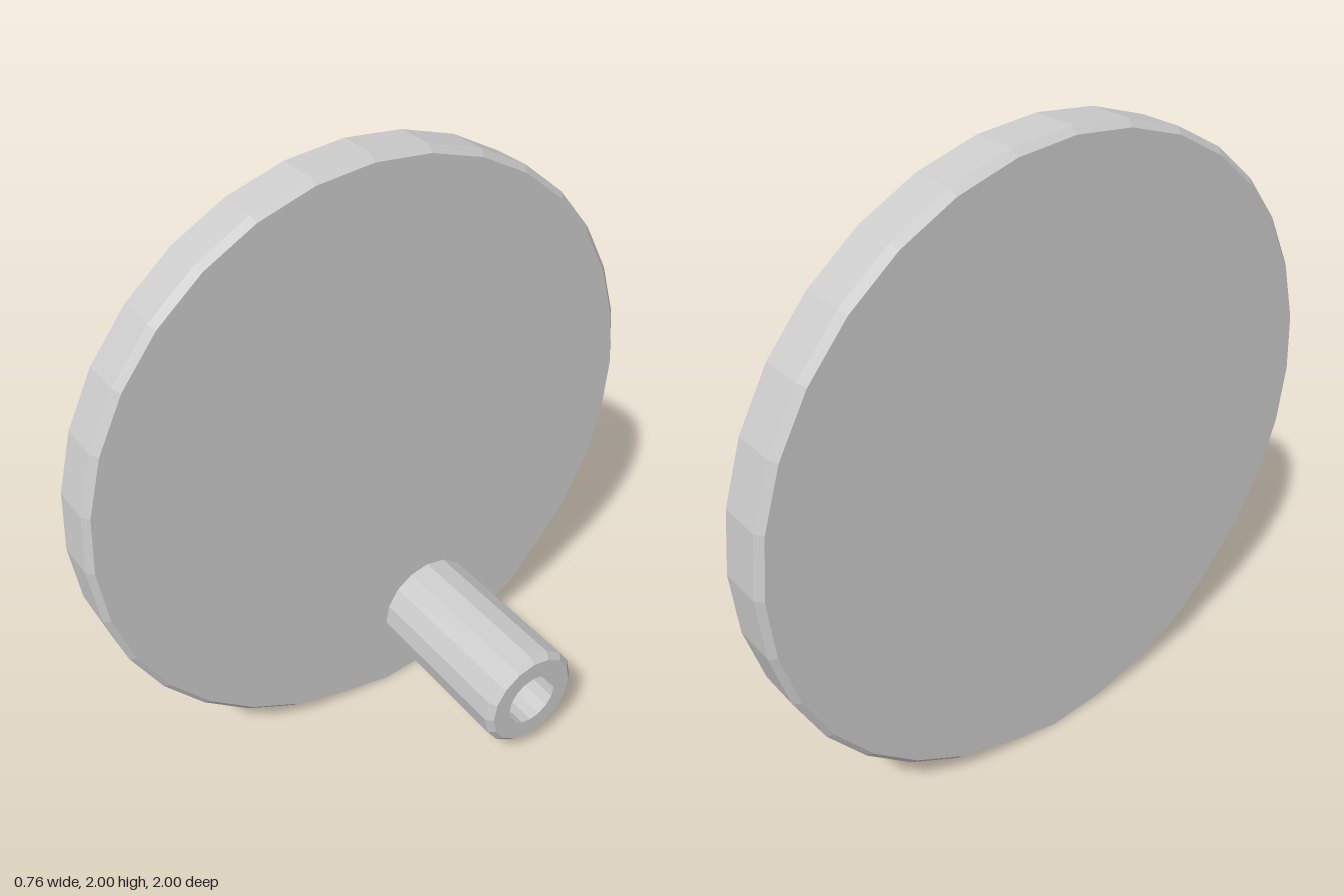
import * as THREE from 'three';

const material = new THREE.MeshStandardMaterial({ color: 0xcccccc, flatShading: true });

// Lathe whose axis runs along +x; profile entries are [radius, x]
function latheX(profile, sides) {
  const points = profile.map(([r, x]) => new THREE.Vector2(r, x));
  return new THREE.LatheGeometry(points, sides).rotateZ(-Math.PI / 2);
}

function addPart(group, name, geometry, y, z) {
  geometry.computeVertexNormals();
  const mesh = new THREE.Mesh(geometry, material);
  mesh.name = name;
  mesh.position.set(0, y, z);
  group.add(mesh);
}

export function createModel() {
  const group = new THREE.Group();
  group.name = 'crankDisc';

  // Disc with chamfered edges
  const back = -0.38, front = -0.205, c = 0.02;
  const disc = latheX(
    [[0, back], [1 - c, back], [1, back + c], [1, front - c], [1 - c, front], [0, front]], 32);

  // The chamfers run out to a square edge over part of the bottom
  const p = disc.attributes.position;
  for (let i = 0; i < p.count; i++) {
    const x = p.getX(i), y = p.getY(i), z = p.getZ(i);
    const radius = Math.hypot(y, z);
    if (radius < 0.5) continue;
    const isFront = x > (back + front) / 2;
    const degrees = THREE.MathUtils.radToDeg(Math.atan2(z, -y)) * (isFront ? 1 : -1);
    if (degrees > -35 && degrees < 10) {
      p.setXYZ(i, isFront ? front : back, y / radius, z / radius);
    }
  }
  addPart(group, 'disc', disc, 1, 0);

  // Off-centre pin with a chamfered end and a blind drilled hole
  const tip = 0.38, r = 0.18, hole = 0.095;
  const pin = latheX([
    [r, front - 0.01], [r, tip - c], [r - c, tip],
    [hole, tip], [hole, 0.0], [0, -0.05],
  ], 16);
  addPart(group, 'pin', pin, 0.275, -0.182);

  return group;
}
